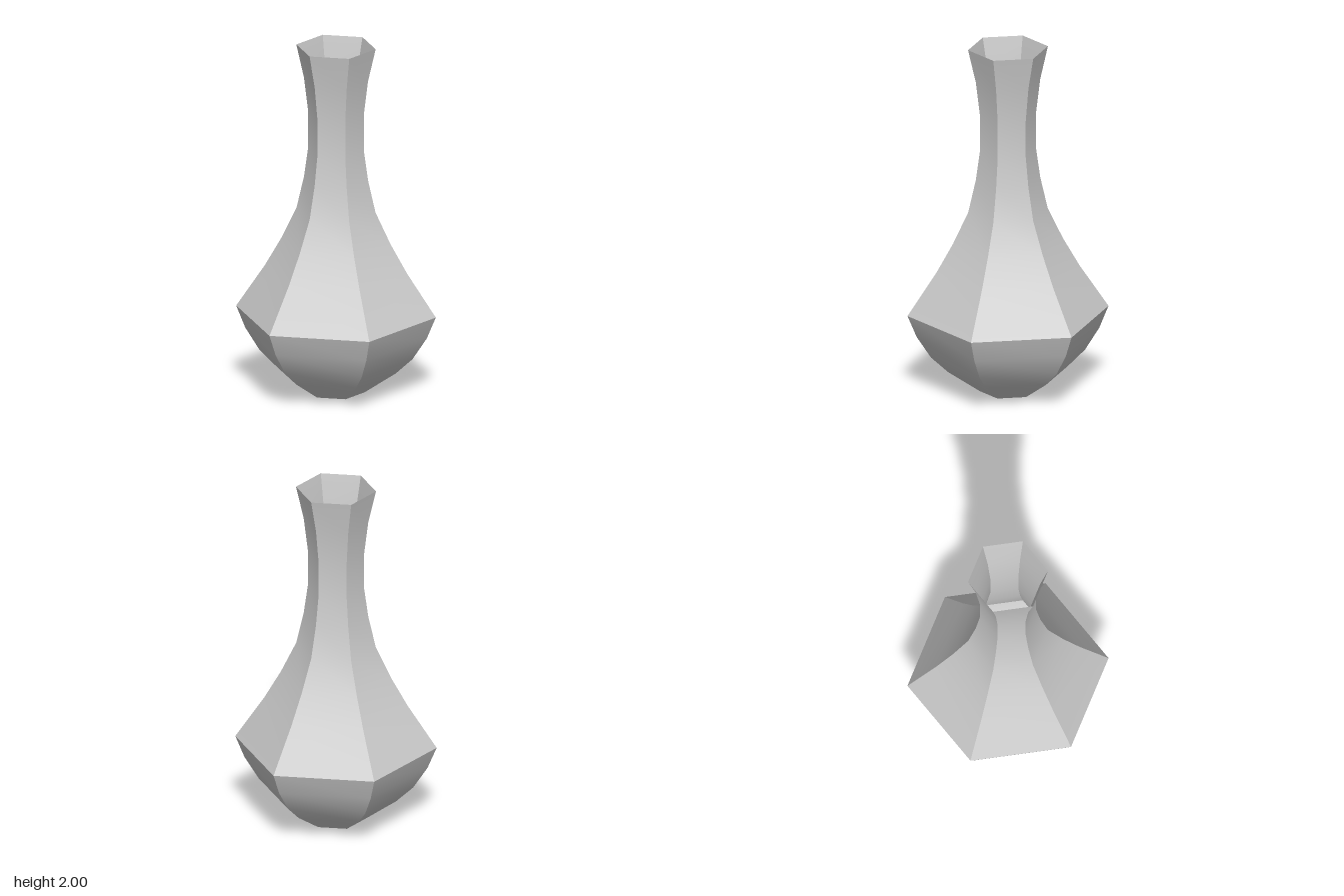
import * as THREE from 'three';
import { toCreasedNormals } from 'three/addons/utils/BufferGeometryUtils.js';

export function createModel() {
  const group = new THREE.Group();
  group.name = 'vase';
  const material = new THREE.MeshStandardMaterial({ color: 0xcccccc, side: THREE.DoubleSide });

  // Corner radius and height, from the foot to the rim
  const profile = [
    [0.16, 0], [0.335, 0.12], [0.43, 0.21], [0.51, 0.335], [0.561, 0.46], // belly
    [0.40, 0.705], [0.307, 0.87], [0.222, 1.05], [0.18, 1.235],           // shoulder
    [0.156, 1.41], [0.156, 1.61], [0.18, 1.81], [0.223, 2],               // neck and flared rim
  ].map(([r, y]) => new THREE.Vector2(r, y));

  // Thin six-sided shell, open at both ends, smooth along its height
  // but sharp between the sides and at the widest ring
  const shell = new THREE.LatheGeometry(profile, 6, Math.PI / 2);
  const body = new THREE.Mesh(toCreasedNormals(shell, THREE.MathUtils.degToRad(28)), material);
  body.name = 'vaseBody';
  group.add(body);

  return group;
}
